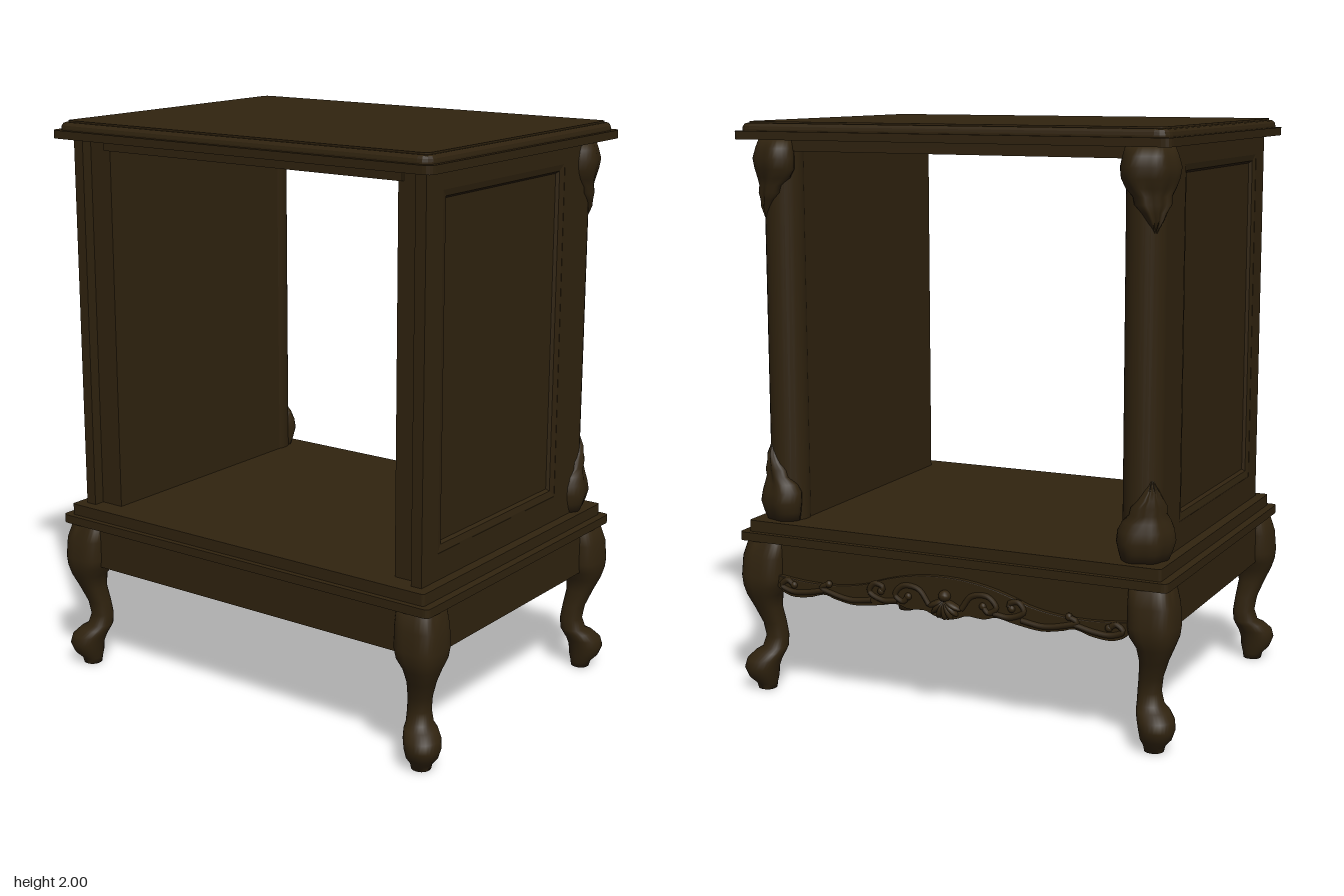
import * as THREE from 'three';

const wood = new THREE.MeshStandardMaterial({ color: 0x30230f });
wood.name = 'dark walnut';

export function createModel() {
  const root = new THREE.Group();
  root.name = 'sideTable';

  const add = (name, geo, x = 0, y = 0, z = 0) => {
    const m = new THREE.Mesh(geo, wood);
    m.name = name;
    m.position.set(x, y, z);
    root.add(m);
    return m;
  };
  // box given by its min and max corners
  const box = (name, x0, x1, y0, y1, z0, z1) =>
    add(name, new THREE.BoxGeometry(x1 - x0, y1 - y0, z1 - z0), (x0 + x1) / 2, (y0 + y1) / 2, (z0 + z1) / 2);

  const rect = (C, x0, x1, y0, y1) => {
    const s = new C();
    s.moveTo(x0, y0); s.lineTo(x1, y0); s.lineTo(x1, y1); s.lineTo(x0, y1); s.closePath();
    return s;
  };

  // horizontal board with rounded corners and an optional bevelled edge
  const slab = (name, hx, hz, r, y0, y1, bevel = 0) => {
    const a = hx - bevel, b = hz - bevel, s = new THREE.Shape();
    s.moveTo(-a + r, -b);
    s.lineTo(a - r, -b); s.quadraticCurveTo(a, -b, a, -b + r);
    s.lineTo(a, b - r); s.quadraticCurveTo(a, b, a - r, b);
    s.lineTo(-a + r, b); s.quadraticCurveTo(-a, b, -a, b - r);
    s.lineTo(-a, -b + r); s.quadraticCurveTo(-a, -b, -a + r, -b);
    const t = bevel ? (y1 - y0) * 0.45 : 0;
    const g = new THREE.ExtrudeGeometry(s, {
      depth: y1 - y0 - 2 * t, bevelEnabled: bevel > 0, bevelSize: bevel, bevelThickness: t, bevelSegments: 3, curveSegments: 4,
    });
    g.translate(0, 0, t);
    g.rotateX(-Math.PI / 2);
    return add(name, g, 0, y0, 0);
  };

  // closed skin over rings of [x, y, z] points, rings ordered upward
  const loft = (rings) => {
    const n = rings[0].length, idx = [], last = (rings.length - 1) * n;
    for (let i = 0; i < rings.length - 1; i++)
      for (let j = 0; j < n; j++) {
        const a = i * n + j, b = i * n + (j + 1) % n;
        idx.push(a, a + n, b, b, a + n, b + n);
      }
    for (let j = 1; j < n - 1; j++) idx.push(0, j, j + 1, last, last + j + 1, last + j);
    const g = new THREE.BufferGeometry();
    g.setAttribute('position', new THREE.Float32BufferAttribute(rings.flat(2), 3));
    g.setIndex(idx);
    g.computeVertexNormals();
    return g;
  };
  // turns a part built toward +x +z to face another corner
  const cornerTurn = (sx, sz) => Math.PI / 4 - Math.atan2(sz, sx);

  // top board
  slab('topLowerEdge', 0.782, 0.588, 0.03, 1.94, 1.968);
  slab('topMouldedEdge', 0.768, 0.574, 0.03, 1.95, 1.994, 0.016);
  slab('topPanel', 0.745, 0.548, 0.02, 1.97, 2.0);
  box('ceiling', -0.62, 0.62, 1.9, 1.945, -0.5, 0.5);

  // base mouldings, which also form the floor
  slab('baseUpperMoulding', 0.766, 0.57, 0.01, 0.575, 0.62);
  slab('baseLowerMoulding', 0.795, 0.59, 0.02, 0.55, 0.58);

  // side walls with a sunk panel
  const [pz0, pz1, py0, py1] = [-0.3, 0.44, 0.71, 1.88];
  const frameShape = rect(THREE.Shape, -0.53, 0.455, 0.62, 1.94);
  frameShape.holes.push(rect(THREE.Path, -pz1, -pz0, py0, py1));
  const frameGeo = new THREE.ExtrudeGeometry(frameShape, { depth: 0.04, bevelEnabled: false });
  frameGeo.translate(0, 0, -0.02);
  frameGeo.rotateY(Math.PI / 2);
  const mouldShape = rect(THREE.Shape, -pz1 - 0.003, -pz0 + 0.003, py0 - 0.003, py1 + 0.003);
  mouldShape.holes.push(rect(THREE.Path, -pz1 + 0.004, -pz0 - 0.004, py0 + 0.004, py1 - 0.004));
  const mouldGeo = new THREE.ExtrudeGeometry(mouldShape, {
    depth: 0.004, bevelSize: 0.03, bevelThickness: 0.016, bevelSegments: 2,
  });
  mouldGeo.translate(0, 0, -0.002);
  mouldGeo.rotateY(Math.PI / 2);

  for (const s of [-1, 1]) {
    const side = (name, x0, x1, ...r) => box(name, Math.min(s * x0, s * x1), Math.max(s * x0, s * x1), ...r);
    add('sideFrame', frameGeo, s * 0.71);
    add('panelMoulding', mouldGeo, s * 0.711);
    side('sunkPanel', 0.68, 0.714, py0 - 0.01, py1 + 0.01, pz0 - 0.01, pz1 + 0.01);
    side('innerWall', 0.6, 0.695, 0.62, 1.94, -0.47, 0.49);
  }

  // back corner columns with carved leaves at both ends: height, reach, half angle
  const leafRows = [
    [0.62, 0.088, 1.75], [0.65, 0.1, 1.8], [0.685, 0.11, 1.85], [0.72, 0.104, 1.85], [0.75, 0.095, 1.6],
    [0.775, 0.089, 1.15], [0.8, 0.092, 1.05], [0.825, 0.086, 0.7], [0.85, 0.084, 0.45], [0.89, 0.07, 0.08],
  ];
  const leafRing = ([y, reach, half]) => {
    const ring = [[0.02, y, 0.0], [0.03, y, -0.01]];
    for (let k = 0; k <= 24; k++) {
      const u = k / 12 - 1, t = Math.PI / 4 + u * half;
      const r = 0.062 + (reach - 0.062) * (1 - u ** 6) + 0.004 * Math.cos(u * Math.PI * 4) * (1 - u * u);
      ring.push([r * Math.cos(t), y, r * Math.sin(t)]);
    }
    ring.push([0, y, 0.02]);
    return ring;
  };
  const lowLeaf = loft(leafRows.map(leafRing));
  const highLeaf = loft([...leafRows].reverse().map(([y, r, h]) => leafRing([2.56 - y, r, h])));
  const column = new THREE.CylinderGeometry(0.068, 0.068, 1.32, 24);
  for (const s of [-1, 1]) {
    add('cornerColumn', column, s * 0.662, 1.28, -0.455);
    for (const [name, geo] of [['lowerLeaf', lowLeaf], ['upperLeaf', highLeaf]])
      add(name, geo, s * 0.657, 0, -0.452).rotation.y = cornerTurn(s, -1);
  }

  // cabriole legs: height, inner edge, outer edge, squareness
  const legRows = [
    [0, 0.703, 0.767, 2.2], [0.02, 0.7, 0.772, 2.2], [0.045, 0.692, 0.795, 2.2], [0.08, 0.688, 0.808, 2.2],
    [0.11, 0.68, 0.802, 2.2], [0.135, 0.671, 0.78, 2.2], [0.15, 0.668, 0.757, 2.2], [0.19, 0.668, 0.745, 2.3],
    [0.24, 0.674, 0.752, 2.4], [0.3, 0.682, 0.774, 2.5], [0.35, 0.676, 0.796, 2.6], [0.385, 0.652, 0.807, 2.8],
    [0.42, 0.645, 0.81, 3], [0.49, 0.645, 0.804, 3.2], [0.555, 0.645, 0.785, 3.4],
  ];
  const legGeo = loft(legRows.map(([y, a, b, p]) => {
    const c = (a + b) / 2 - 0.735, h = (b - a) / 2;
    const f = (v) => c + h * Math.sign(v) * Math.abs(v) ** (2 / p);
    return Array.from({ length: 28 }, (_, k) => {
      const t = (k + 0.5) / 28 * Math.PI * 2;
      return [f(Math.cos(t)), y, f(Math.sin(t))];
    });
  }));
  for (const sx of [-1, 1])
    for (const sz of [-1, 1])
      add(sz > 0 ? 'frontLeg' : 'backLeg', legGeo, sx * 0.735, 0, sz * 0.525).rotation.y = cornerTurn(sx, sz);

  // aprons
  box('frontApron', -0.68, 0.68, 0.395, 0.555, 0.52, 0.553);
  box('backApron', -0.68, 0.68, 0.4, 0.555, -0.55, -0.52);
  for (const s of [-1, 1])
    box('sideApron', s * 0.747 - 0.016, s * 0.747 + 0.016, 0.39, 0.555, -0.47, 0.47);

  // scalloped carving plate along the back apron
  const half = [[0, 0.358], [0.04, 0.366], [0.08, 0.38], [0.14, 0.377], [0.19, 0.388], [0.26, 0.375], [0.35, 0.364],
    [0.42, 0.374], [0.47, 0.386], [0.53, 0.37], [0.59, 0.364], [0.63, 0.374], [0.655, 0.392]];
  const edge = [...half.slice(1).reverse().map(([x, y]) => [-x, y]), ...half].map(([x, y]) => new THREE.Vector2(x, y));
  const plate = new THREE.Shape();
  plate.moveTo(-0.655, 0.43);
  plate.lineTo(edge[0].x, edge[0].y);
  plate.splineThru(edge.slice(1));
  plate.lineTo(0.655, 0.43);
  plate.quadraticCurveTo(0.45, 0.4, 0.3, 0.44);
  plate.quadraticCurveTo(0.15, 0.5, 0, 0.5);
  plate.quadraticCurveTo(-0.15, 0.5, -0.3, 0.44);
  plate.quadraticCurveTo(-0.45, 0.4, -0.655, 0.43);
  add('scallopedCarving', new THREE.ExtrudeGeometry(plate, {
    depth: 0.014, bevelSize: 0.003, bevelThickness: 0.005, bevelSegments: 2, curveSegments: 8,
  }), 0, 0, -0.562);

  // raised scrolls and a central shell on the carving
  const scrolls = [
    [[0.06, 0.4], [0.1, 0.45], [0.16, 0.455], [0.19, 0.42], [0.16, 0.4], [0.14, 0.42]],
    [[0.18, 0.4], [0.24, 0.395], [0.29, 0.42], [0.27, 0.45], [0.235, 0.44], [0.245, 0.425]],
    [[0.28, 0.39], [0.36, 0.38], [0.43, 0.392], [0.48, 0.41], [0.45, 0.425]],
    [[0.47, 0.4], [0.54, 0.385], [0.6, 0.382], [0.64, 0.4], [0.615, 0.42], [0.59, 0.405]],
  ];
  const bead = new THREE.SphereGeometry(1, 12, 8);
  for (const s of [-1, 1])
    for (const pts of scrolls) {
      const curve = new THREE.CatmullRomCurve3(pts.map(([x, y]) => new THREE.Vector3(s * x, y, -0.567)));
      add('carvedScroll', new THREE.TubeGeometry(curve, 28, 0.01, 7));
      const [x, y] = pts[pts.length - 1];
      add('scrollBead', bead, s * x, y, -0.567).scale.set(0.013, 0.013, 0.012);
    }
  for (let k = -3; k <= 3; k++) {
    const t = k * 0.38, m = add('shellLobe', bead, Math.sin(t) * 0.035, 0.425 - Math.cos(t) * 0.035, -0.57);
    m.scale.set(0.011, 0.034, 0.022);
    m.rotation.z = t;
  }
  add('shellHeart', bead, 0, 0.44, -0.57).scale.set(0.022, 0.02, 0.025);

  return root;
}
